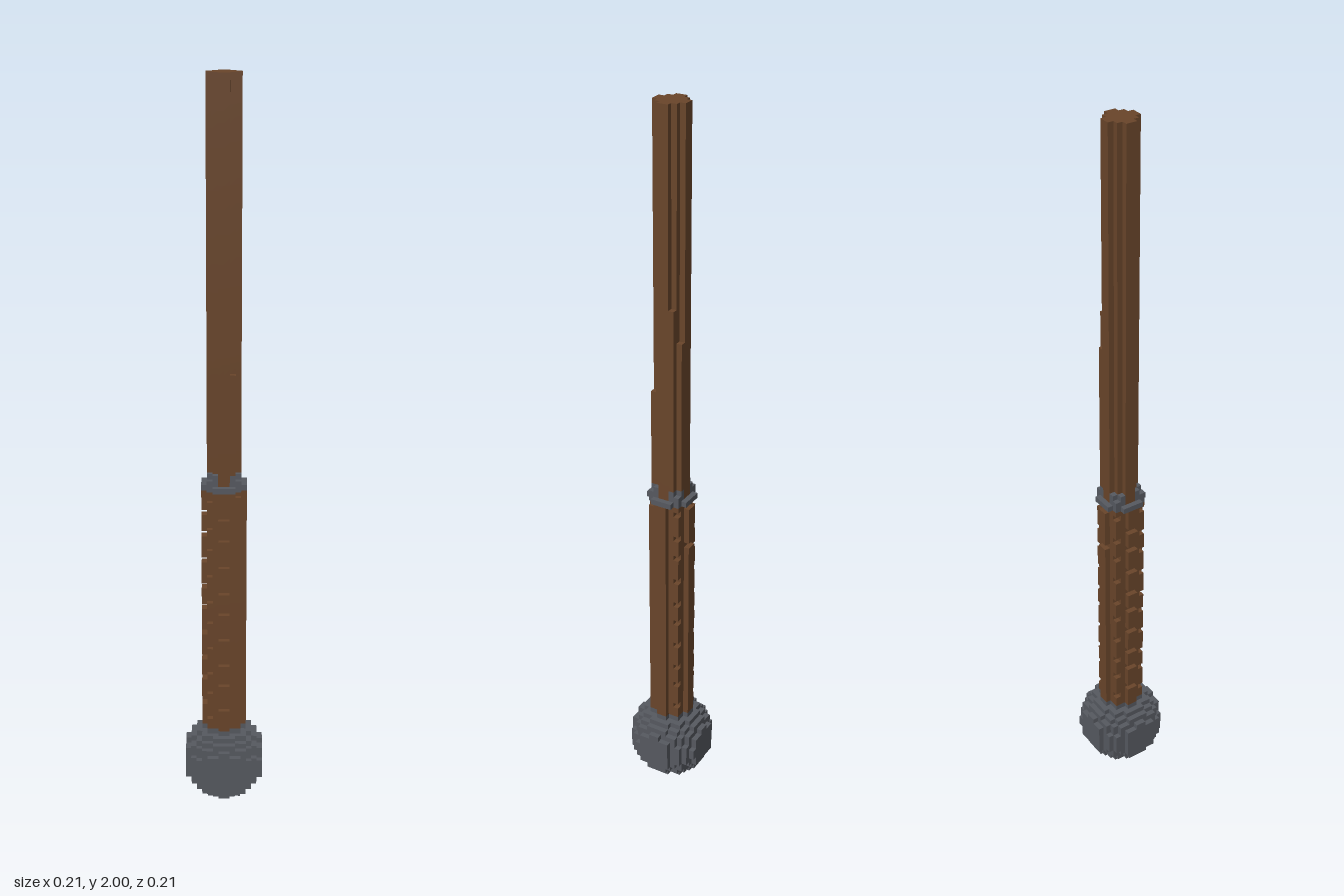
import * as THREE from 'three';

const LAYERS = 131, S = 2 / LAYERS; // voxel grid, 131 cells tall

// Ball pommel: 14 cells across, with the rim cells trimmed on some sides
function inPommel(x, y, z) {
  const dy = y - 6.5, d = x * x + dy * dy + z * z;
  if (d !== 54.75) return d < 54.75;
  if (Math.abs(dy) === 0.5) {
    if (Math.abs(x) === 3.5) return x > 0 && z < 0;
    if (Math.abs(z) === 3.5) return z > 0 && x > 0;
  }
  if (Math.abs(dy) === 3.5) return dy > 0;
  return true;
}

// Collar: one wide layer with a narrower lip above
function inCollar(x, y, z) {
  const d = x * x + z * z;
  return (y === 60 && d < 15) || (y === 61 && d < 13 && d > 7 && Math.abs(x) < 3 && Math.abs(z) < 3)
    || (y === 62 && d > 7 && d < 9);
}

// Grip: thicker rod with regularly notched ridges
function inGrip(x, y, z) {
  if (y < 12 || y > 59) return false;
  const d = x * x + z * z;
  if (d < 9) return true;
  if (d > 13) return false;
  const notch = (shift) => ((y - 17.6 + shift) % 4.63 + 4.63) % 4.63 < 1;
  if (x === 3.5) return true;
  if (z === -3.5) return y !== 51 && y !== 59;
  if (x === 2.5 && z === 2.5) return y < 59;
  return !notch(Math.abs(x) === 2.5 ? 2 : 0);
}

// Shaft: slim rod with three raised strips that start at different heights
function inShaft(x, y, z) {
  if (y < 60 || y >= LAYERS) return false;
  if (x * x + z * z < 7) return true;
  return (x === 2.5 && z === -1.5 && y < 97) || (x === 1.5 && z === -2.5 && y < 91)
    || (x === 1.5 && z === 2.5 && y < 81);
}

const PARTS = [['pommel', inPommel, 'steel'], ['collar', inCollar, 'steel'],
  ['grip', inGrip, 'wood'], ['shaft', inShaft, 'wood']];

const partAt = (x, y, z) => PARTS.findIndex(([, inside]) => inside(x, y, z));

// Mesh of the exposed cell faces of one part
function voxelGeometry(index) {
  const pos = [], nor = [];
  for (let y = 0; y < LAYERS; y++)
    for (let x = -6.5; x < 7; x++)
      for (let z = -6.5; z < 7; z++) {
        if (partAt(x, y, z) !== index) continue;
        const c = [x, y + 0.5, z];
        for (let a = 0; a < 3; a++)
          for (const s of [-1, 1]) {
            const n = [0, 0, 0];
            n[a] = s;
            if (partAt(x + n[0], y + n[1], z + n[2]) >= 0) continue;
            const corner = (u, v) => {
              const p = [...c];
              p[a] += s / 2;
              p[(a + 1) % 3] += u / 2;
              p[(a + 2) % 3] += (v * s) / 2;
              return p.map((k) => k * S);
            };
            const [A, B, C, D] = [corner(-1, -1), corner(1, -1), corner(1, 1), corner(-1, 1)];
            pos.push(...A, ...B, ...C, ...A, ...C, ...D);
            for (let i = 0; i < 6; i++) nor.push(...n);
          }
      }
  const g = new THREE.BufferGeometry();
  g.setAttribute('position', new THREE.Float32BufferAttribute(pos, 3));
  g.setAttribute('normal', new THREE.Float32BufferAttribute(nor, 3));
  return g;
}

export function createModel() {
  const materials = {
    steel: new THREE.MeshStandardMaterial({ color: 0x565960 }),
    wood: new THREE.MeshStandardMaterial({ color: 0x69452a }),
  };
  for (const key in materials) materials[key].name = key;
  const model = new THREE.Group();
  model.name = 'staff';
  PARTS.forEach(([name, , material], i) => {
    const mesh = new THREE.Mesh(voxelGeometry(i), materials[material]);
    mesh.name = name;
    model.add(mesh);
  });
  return model;
}
